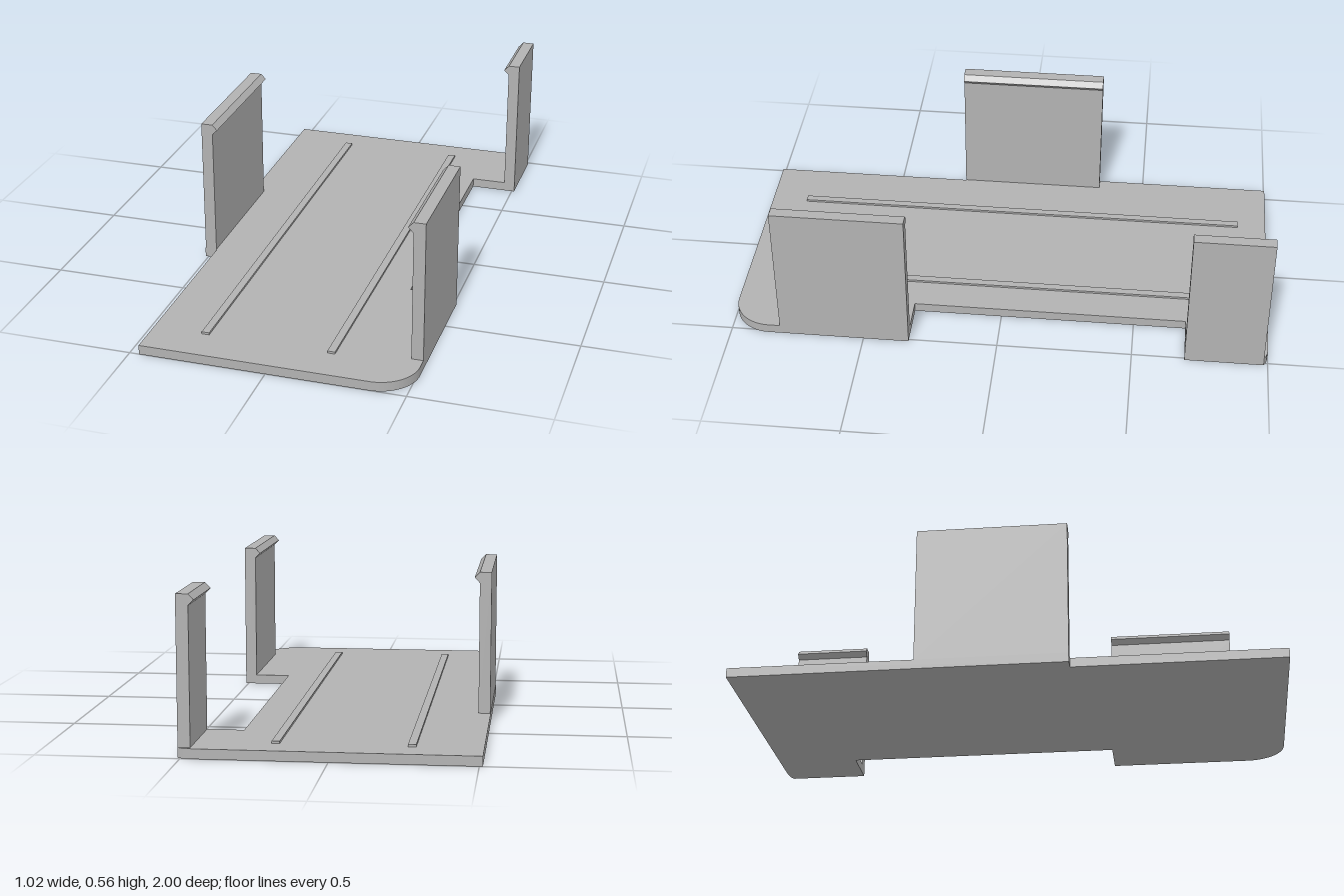
import * as THREE from 'three';

const BASE_TOP = 0.035;
const WALL_TOP = 0.555;

export function createModel() {
  const group = new THREE.Group();
  const grey = new THREE.MeshStandardMaterial({ color: 0xb2b2b2 });
  grey.name = 'grey';

  const add = (name, geometry) => {
    const mesh = new THREE.Mesh(geometry, grey);
    mesh.name = name;
    group.add(mesh);
    return mesh;
  };

  // Base plate: drawn as (x, -z), with a notch on the left side,
  // rounded left corners and a small step on the right edge
  const plate = new THREE.Shape();
  plate.moveTo(-0.465, -1);
  plate.lineTo(0.37, -1);
  plate.absarc(0.37, -0.86, 0.14, -Math.PI / 2, 0, false);
  plate.lineTo(0.51, -0.33);
  plate.lineTo(0.335, -0.33);
  plate.lineTo(0.335, 0.695);
  plate.lineTo(0.51, 0.695);
  plate.lineTo(0.51, 0.985);
  plate.quadraticCurveTo(0.495, 1, 0.44, 1);
  plate.lineTo(-0.512, 1);
  plate.lineTo(-0.512, -0.23);
  plate.lineTo(-0.465, -0.23);
  plate.closePath();
  const plateGeometry = new THREE.ExtrudeGeometry(plate, {
    depth: BASE_TOP, bevelEnabled: false, curveSegments: 16,
  });
  plateGeometry.rotateX(-Math.PI / 2);
  add('basePlate', plateGeometry);

  // Clip wall: upright slab with a pointed lip along its inner top edge
  const addClip = (name, side, z0, z1) => {
    const points = [
      [0.51, BASE_TOP], [0.51, WALL_TOP], [0.467, WALL_TOP],
      [0.448, 0.535], [0.467, 0.516], [0.467, BASE_TOP],
    ].map(([x, y]) => new THREE.Vector2(side * x, y));
    const geometry = new THREE.ExtrudeGeometry(new THREE.Shape(points), {
      depth: z1 - z0, bevelEnabled: false,
    });
    geometry.translate(0, 0, z0);
    add(name, geometry);
  };
  addClip('frontLeftClip', 1, 0.33, 0.815);
  addClip('backLeftClip', 1, -0.985, -0.695);
  addClip('rightClip', -1, -0.323, 0.23);

  // Two thin raised rails along the plate
  [['rightRail', -0.27], ['leftRail', 0.193]].forEach(([name, x]) => {
    add(name, new THREE.BoxGeometry(0.028, 0.008, 1.75)).position.set(x, BASE_TOP + 0.004, -0.015);
  });

  return group;
}
